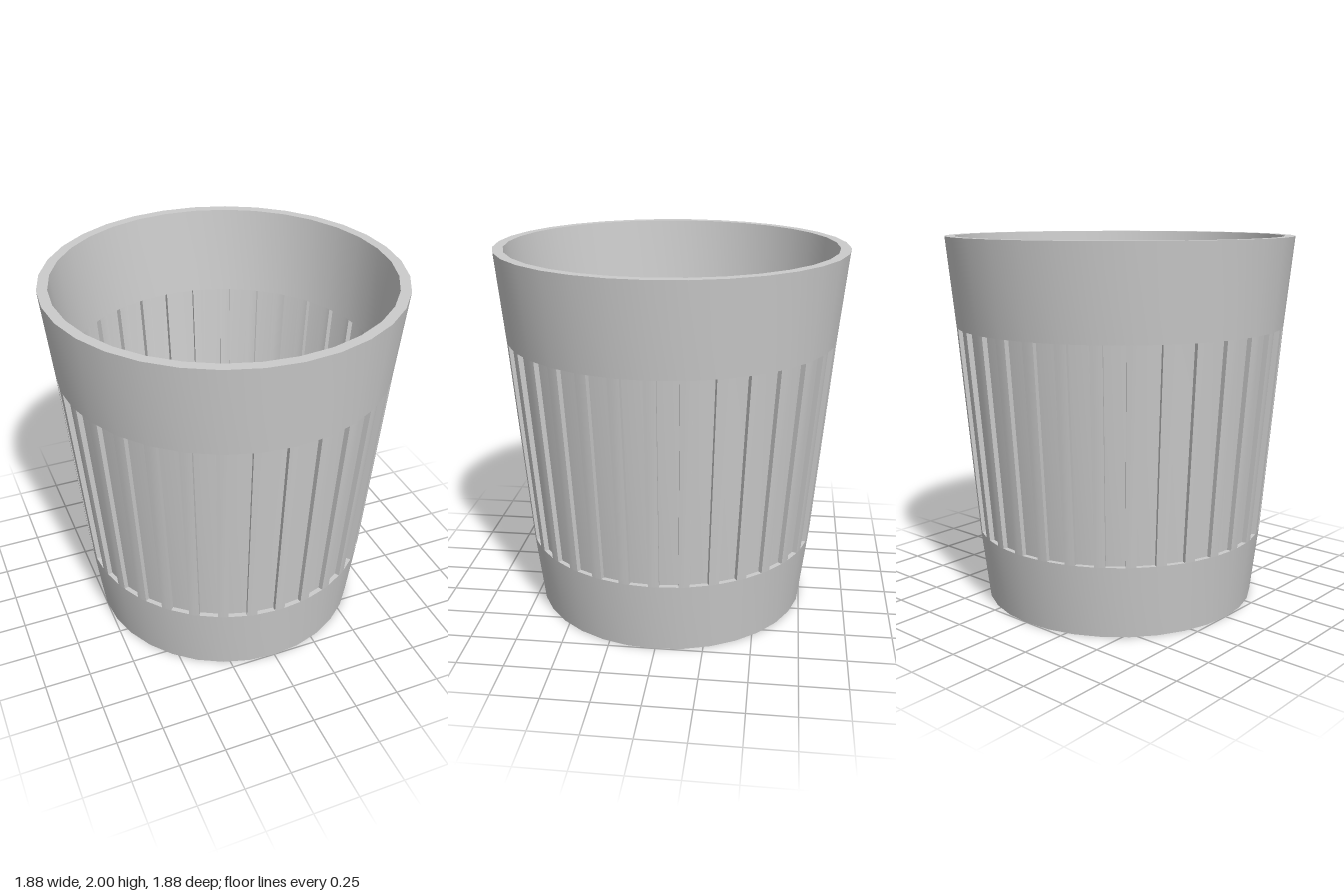
import * as THREE from 'three';
import { toCreasedNormals, mergeGeometries } from 'three/addons/utils/BufferGeometryUtils.js';

const SIDES = 32;              // one recessed slot per side
const STEP = (Math.PI * 2) / SIDES;
const RIB = 0.18;              // rib half width, as a share of one side
const LOW = { y: 0.39, outer: 0.798, panel: 0.772, inner: 0.739 };
const HIGH = { y: 1.52, outer: 0.894, panel: 0.866, inner: 0.835 };

const grey = new THREE.MeshStandardMaterial({ color: 0xcccccc });
const greyThin = new THREE.MeshStandardMaterial({ color: 0xcccccc, side: THREE.DoubleSide });

function lathe(name, profile, material = grey) {
  const points = profile.map(([r, y]) => new THREE.Vector2(r, y));
  const mesh = new THREE.Mesh(toCreasedNormals(new THREE.LatheGeometry(points, SIDES), Math.PI / 6), material);
  mesh.name = name;
  return mesh;
}

// Upright rib bent around one corner of the polygonal wall, tapering to the bottom
function ribGeometry() {
  const geometry = new THREE.BoxGeometry(1, 1, 1, 2, 1, 1);
  const pos = geometry.attributes.position;
  for (let i = 0; i < pos.count; i++) {
    const level = pos.getY(i) > 0 ? HIGH : LOW;
    const r = pos.getZ(i) > 0 ? level.outer : level.inner;
    const side = Math.sign(pos.getX(i));
    const f = Math.abs(side) * RIB;
    pos.setXYZ(i, side * r * f * Math.sin(STEP), level.y, r * (1 - f + f * Math.cos(STEP)));
  }
  return geometry;
}

export function createModel() {
  const basket = new THREE.Group();
  basket.name = 'wasteBasket';

  // Solid base cup with the floor
  basket.add(lathe('baseCup', [
    [0, 0], [0.751, 0], [LOW.outer, LOW.y], [LOW.inner, LOW.y], [0.705, 0.06], [0, 0.06],
  ]));

  // Plain band and rim above the slots
  basket.add(lathe('rimBand', [
    [HIGH.inner, HIGH.y], [HIGH.outer, HIGH.y], [0.942, 2], [0.887, 2], [HIGH.inner, HIGH.y],
  ]));

  // Thin wall at the back of the slots, seen from inside and outside
  basket.add(lathe('slotPanel', [[LOW.panel, LOW.y], [HIGH.panel, HIGH.y]], greyThin));

  // Ribs between the slots
  const ribs = [];
  for (let i = 0; i < SIDES; i++) ribs.push(ribGeometry().rotateY(i * STEP));
  const ribMesh = new THREE.Mesh(toCreasedNormals(mergeGeometries(ribs), Math.PI / 6), grey);
  ribMesh.name = 'ribs';
  basket.add(ribMesh);

  return basket;
}
